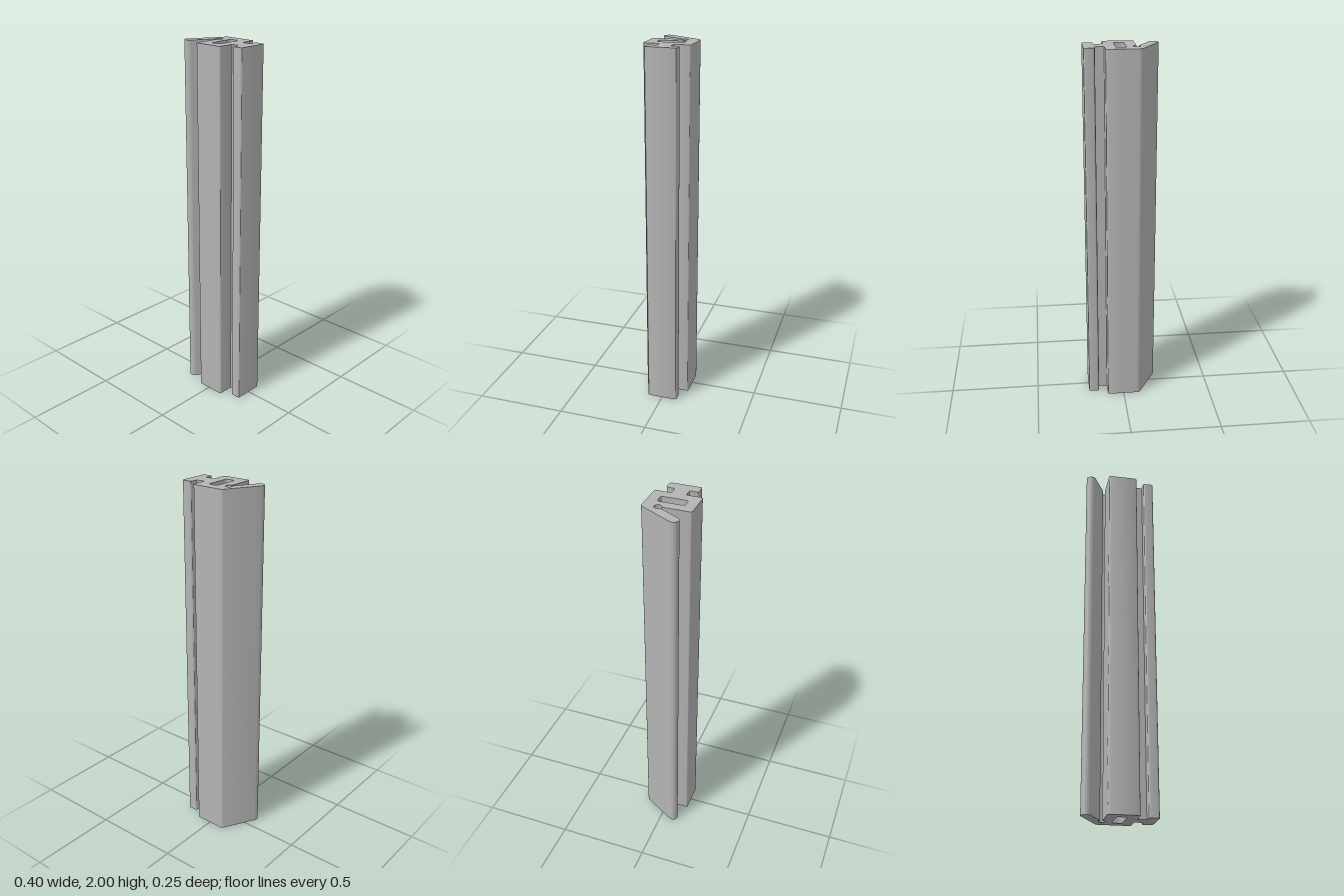
import * as THREE from 'three';
import { toCreasedNormals } from 'three/addons/utils/BufferGeometryUtils.js';

const HEIGHT = 2;

// Adds corners [x, y, radius] to a path, rounding those with a radius.
// Tangents run towards the neighbouring corners; the first and last are plain anchors.
function addCorners(path, corners) {
  for (let i = 1; i < corners.length - 1; i++) {
    const [x, y, r = 0] = corners[i];
    if (!r) { path.lineTo(x, y); continue; }
    const p = new THREE.Vector2(x, y);
    const toward = (q, d) => new THREE.Vector2(q[0], q[1]).sub(p).setLength(d).add(p);
    const prev = corners[i - 1], next = corners[i + 1];
    const a = toward(prev, r), b = toward(next, r);
    const c = toward(prev, r * 0.45), d = toward(next, r * 0.45);
    path.lineTo(a.x, a.y);
    path.bezierCurveTo(c.x, c.y, d.x, d.y, b.x, b.y);
  }
}

// Cross-section seen from above; shape y points to the back
function profileShape() {
  const shape = new THREE.Shape();
  const R = 0.011;
  const hinge = { x: -0.073, y: 0.045, r: 0.019 };
  const tip = { x: -0.1725, y: -0.0715, r: 0.027 };
  const tilt = Math.PI / 6;
  const start = [0, 0.126];

  shape.moveTo(...start);
  // Body, web and T-shaped flange, clockwise
  addCorners(shape, [
    start,
    [0.092, 0.126, R], [0.092, 0.0385], [0.141, 0.0385],
    [0.141, 0.085, R], [0.199, 0.085, R], [0.199, -0.085, R], [0.141, -0.085, R],
    [0.141, -0.0385], [0.092, -0.0385],
    [0.092, -0.126, R], [-0.073, -0.126, R],
    [hinge.x, hinge.y - hinge.r],
  ]);
  // Round relief groove at the root of the lip
  shape.absarc(hinge.x, hinge.y, hinge.r, -Math.PI / 2, THREE.MathUtils.degToRad(232), false);
  // Slanted lip with a round tip
  shape.absarc(tip.x, tip.y, tip.r, -tilt, -tilt - Math.PI, true);
  const outer = [tip.x - tip.r * Math.cos(tilt), tip.y + tip.r * Math.sin(tilt)];
  addCorners(shape, [outer, [-0.091, 0.126, 0.012], start]);
  shape.closePath();

  // Hollow core
  const core = new THREE.Path();
  const first = [0.009, 0.071];
  core.moveTo(...first);
  addCorners(core, [
    first,
    [-0.018, 0.071, R], [-0.018, -0.071, R], [0.036, -0.071, R], [0.036, 0.071, R],
    first,
  ]);
  core.closePath();
  shape.holes.push(core);
  return shape;
}

export function createModel() {
  const group = new THREE.Group();
  group.name = 'extrudedProfile';
  const grey = new THREE.MeshStandardMaterial({ color: 0xb4b4b4 });
  grey.name = 'grey';

  const extruded = new THREE.ExtrudeGeometry(profileShape(), {
    depth: HEIGHT, bevelEnabled: false, curveSegments: 12,
  });
  extruded.rotateX(-Math.PI / 2);
  const bar = new THREE.Mesh(toCreasedNormals(extruded, Math.PI / 6), grey);
  bar.name = 'profileBar';
  group.add(bar);
  return group;
}
